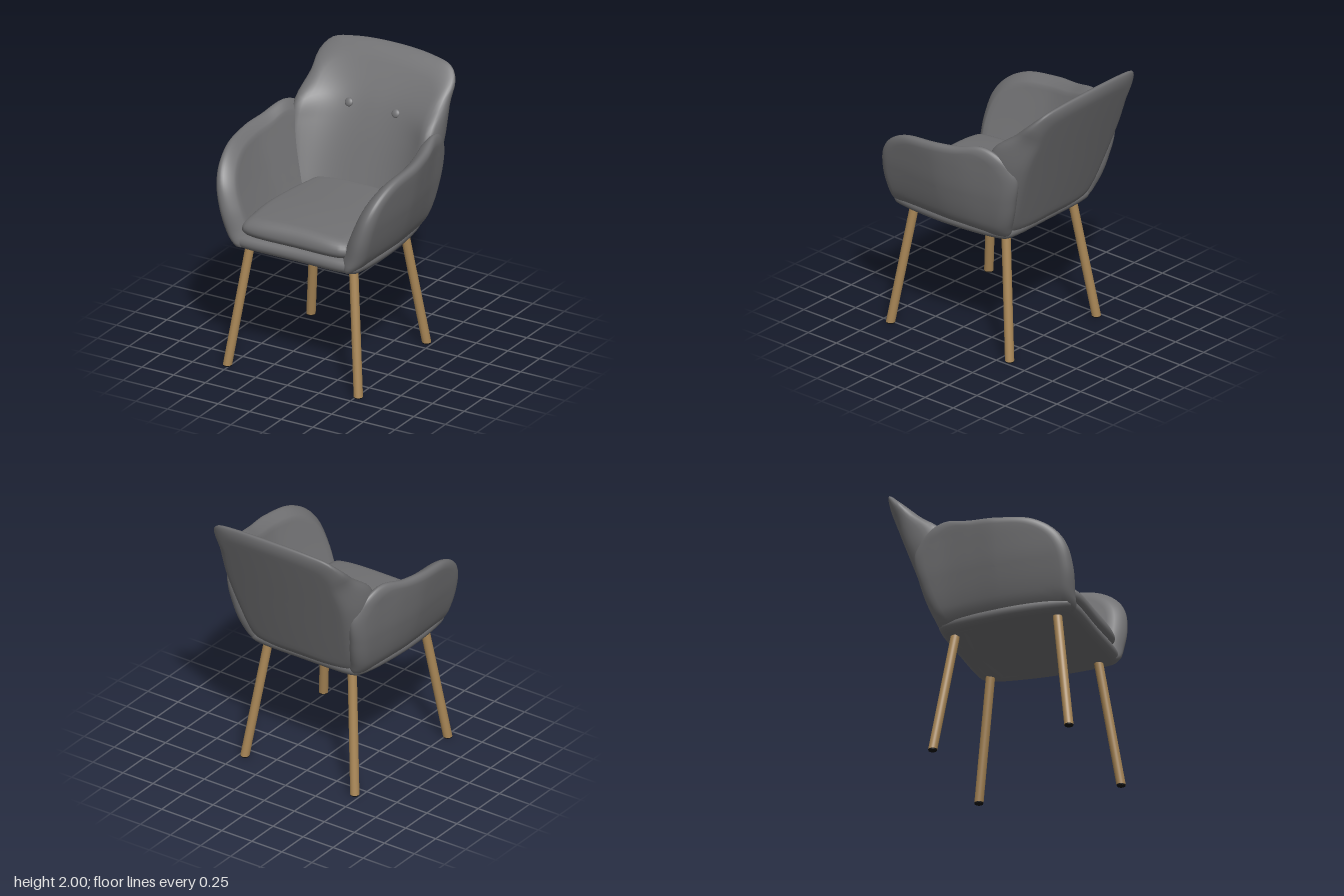
import * as THREE from 'three';

// Smooth 1D interpolation through [key, value] pairs
function lut(pairs) {
  const slope = (a, b) => (pairs[b][1] - pairs[a][1]) / (pairs[b][0] - pairs[a][0]);
  const last = pairs.length - 1;
  return (k) => {
    if (k <= pairs[0][0]) return pairs[0][1];
    if (k >= pairs[last][0]) return pairs[last][1];
    let i = 0;
    while (k > pairs[i + 1][0]) i++;
    const h = pairs[i + 1][0] - pairs[i][0];
    const t = (k - pairs[i][0]) / h;
    const m0 = slope(Math.max(i - 1, 0), i + 1) * h;
    const m1 = slope(i, Math.min(i + 2, last)) * h;
    const t2 = t * t, t3 = t2 * t;
    return (2 * t3 - 3 * t2 + 1) * pairs[i][1] + (t3 - 2 * t2 + t) * m0
      + (3 * t2 - 2 * t3) * pairs[i + 1][1] + (t3 - t2) * m1;
  };
}

// Padded panel: a smooth outline (a, b) with rounded rim; map(a, b, n) places
// each point, with n running from 1 on one face to -1 on the other
function pad(points, [ca, cb], inset, map) {
  const SEG = 112, INNER = 12, EDGE = 14;
  const curve = new THREE.CatmullRomCurve3(
    points.map(([a, b]) => new THREE.Vector3(a, b, 0)), true, 'centripetal');
  const outline = curve.getSpacedPoints(SEG).slice(0, SEG);
  const rings = [];
  for (let i = 0; i < INNER; i++) rings.push([(1 - inset) * i / INNER, 1]);
  for (let i = 0; i <= EDGE; i++) {
    const t = Math.PI * i / EDGE;
    rings.push([1 - inset + inset * Math.sin(t), Math.cos(t)]);
  }
  for (let i = INNER - 1; i >= 0; i--) rings.push([(1 - inset) * i / INNER, -1]);

  const verts = [], index = [];
  for (const [r, n] of rings) {
    for (const p of outline) verts.push(map(ca + (p.x - ca) * r, cb + (p.y - cb) * r, n));
  }
  for (let i = 0; i < rings.length - 1; i++) {
    for (let j = 0; j < SEG; j++) {
      const k = (j + 1) % SEG;
      const a = i * SEG + j, b = i * SEG + k, c = a + SEG, d = b + SEG;
      index.push(a, c, b, b, c, d);
    }
  }
  // Turn the faces outward
  let volume = 0;
  const cross = new THREE.Vector3();
  for (let i = 0; i < index.length; i += 3) {
    volume += verts[index[i]].dot(cross.crossVectors(verts[index[i + 1]], verts[index[i + 2]]));
  }
  if (volume < 0) index.reverse();
  const geo = new THREE.BufferGeometry().setFromPoints(verts);
  geo.setIndex(index);
  geo.computeVertexNormals();
  return geo;
}

// Completes a half outline (a >= 0, from the a = 0 axis back to it)
function mirrored(half) {
  return [...half, ...half.slice(1, -1).reverse().map(([a, b]) => [-a, b])];
}

const V = (x, y, z) => new THREE.Vector3(x, y, z);

function backGeometry() {
  const rear = lut([[0.88, -0.31], [0.97, -0.345], [1.45, -0.52], [1.935, -0.70], [2, -0.722]]);
  const front = lut([[0.88, -0.08], [1.12, -0.17], [1.63, -0.39], [1.95, -0.60], [2, -0.64]]);
  const wing = lut([[0.9, 0.15], [1.5, 0.2], [1.64, 0.2], [1.77, 0.08], [1.93, 0]]);
  const outline = mirrored([[0, 2], [0.31, 1.985], [0.47, 1.95], [0.535, 1.87], [0.54, 1.76],
    [0.56, 1.64], [0.565, 1.5], [0.53, 1.2], [0.48, 0.97], [0.42, 0.89], [0, 0.88]]);
  return pad(outline, [0, 1.45], 0.2, (x, y, n) => {
    const s = Math.abs(x) / 0.55;
    const zr = rear(y) + 0.04 * s * s;
    const zf = front(y) + wing(y) * s ** 3;
    return V(x, y, THREE.MathUtils.lerp(zr, zf, (n + 1) / 2));
  });
}

function armGeometry(side) {
  const outer = lut([[0.88, 0.46], [0.93, 0.51], [1.02, 0.565], [1.235, 0.632], [1.4, 0.667], [1.55, 0.69], [1.65, 0.69]]);
  const inner = lut([[0.88, 0.34], [1, 0.38], [1.12, 0.43], [1.3, 0.5], [1.55, 0.585], [1.65, 0.6]]);
  const taper = lut([[-0.45, 0.13], [-0.3, 0.09], [-0.2, 0.07], [0, 0.025], [0.2, 0], [0.6, 0.025], [0.72, 0.04]]);
  const outline = [[0.69, 0.91], [0.705, 1.02], [0.712, 1.17], [0.68, 1.34], [0.6, 1.45], [0.45, 1.535],
    [0.2, 1.572], [0, 1.592], [-0.2, 1.63], [-0.33, 1.58], [-0.44, 1.45], [-0.4, 1.2],
    [-0.33, 1], [-0.27, 0.9], [0.2, 0.89], [0.62, 0.892]];
  return pad(outline, [0.18, 1.22], 0.15, (z, y, n) => {
    const pull = taper(z) * THREE.MathUtils.clamp(0.4 + (y - 0.9), 0.4, 1);
    const t = ((n + 1) / 2) ** 0.6;
    return V(side * (THREE.MathUtils.lerp(inner(y), outer(y), t) - pull), y, z);
  });
}

function baseGeometry() {
  const outline = mirrored([[0, 0.692], [0.4, 0.692], [0.49, 0.67], [0.515, 0.58], [0.53, 0.2],
    [0.48, -0.2], [0.44, -0.29], [0.36, -0.31], [0, -0.315]]);
  return pad(outline, [0, 0.19], 0.12, (x, z, n) =>
    V(x, 0.94 + n * 0.055 + 0.006 * (z - 0.2), z));
}

function cushionGeometry() {
  const outline = mirrored([[0, 0.69], [0.34, 0.688], [0.41, 0.665], [0.428, 0.55], [0.435, 0.35],
    [0.41, 0.1], [0.37, -0.1], [0.33, -0.22], [0, -0.25]]);
  return pad(outline, [0, 0.22], 0.17, (x, z, n) => {
    const crown = 0.105 - 0.025 * (x / 0.42) ** 2 - 0.02 * Math.max(0, (z - 0.2) / 0.5) ** 2;
    return V(x, 1.045 + n * (n > 0 ? crown : 0.065), z);
  });
}

// Straight round leg, sheared so that both ends stay level
function legGeometry(top, bottom) {
  const height = 0.92;
  const geo = new THREE.CylinderGeometry(0.032, 0.032, height, 24);
  geo.translate(0, height / 2, 0);
  const p = geo.attributes.position;
  for (let i = 0; i < p.count; i++) {
    const t = p.getY(i) / 0.9;
    p.setX(i, p.getX(i) + THREE.MathUtils.lerp(bottom[0], top[0], t));
    p.setY(i, p.getY(i) + 0.008);
    p.setZ(i, p.getZ(i) + THREE.MathUtils.lerp(bottom[1], top[1], t));
  }
  geo.computeVertexNormals();
  return geo;
}

export function createModel() {
  const material = (name, color) => {
    const m = new THREE.MeshStandardMaterial({ color });
    m.name = name;
    return m;
  };
  const fabric = material('grey fabric', 0x707072);
  const wood = material('oak wood', 0xa88656);
  const rubber = material('black rubber', 0x141414);

  const chair = new THREE.Group();
  chair.name = 'armchair';
  const add = (name, geo, mat) => {
    const mesh = new THREE.Mesh(geo, mat);
    mesh.name = name;
    chair.add(mesh);
    return mesh;
  };

  add('backrest', backGeometry(), fabric);
  add('seatBase', baseGeometry(), fabric);
  add('seatCushion', cushionGeometry(), fabric);

  for (const [side, label] of [[1, 'left'], [-1, 'right']]) {
    add(label + 'Arm', armGeometry(side), fabric);

    // Tufting button
    const button = add(label + 'Button', new THREE.SphereGeometry(0.031, 24, 16), fabric);
    button.scale.z = 0.5;
    button.rotation.x = -0.45;
    button.position.set(side * 0.185, 1.63, -0.38);

    // Splayed legs with foot pads
    const legs = [['Front', [0.405, 0.55], [0.517, 0.675]], ['Rear', [0.345, -0.205], [0.457, -0.332]]];
    for (const [end, top, bottom] of legs) {
      const t = [side * top[0], top[1]], b = [side * bottom[0], bottom[1]];
      add(label + end + 'Leg', legGeometry(t, b), wood);
      add(label + end + 'Foot', new THREE.CylinderGeometry(0.031, 0.029, 0.009, 24), rubber)
        .position.set(b[0], 0.0045, b[1]);
    }
  }
  return chair;
}
